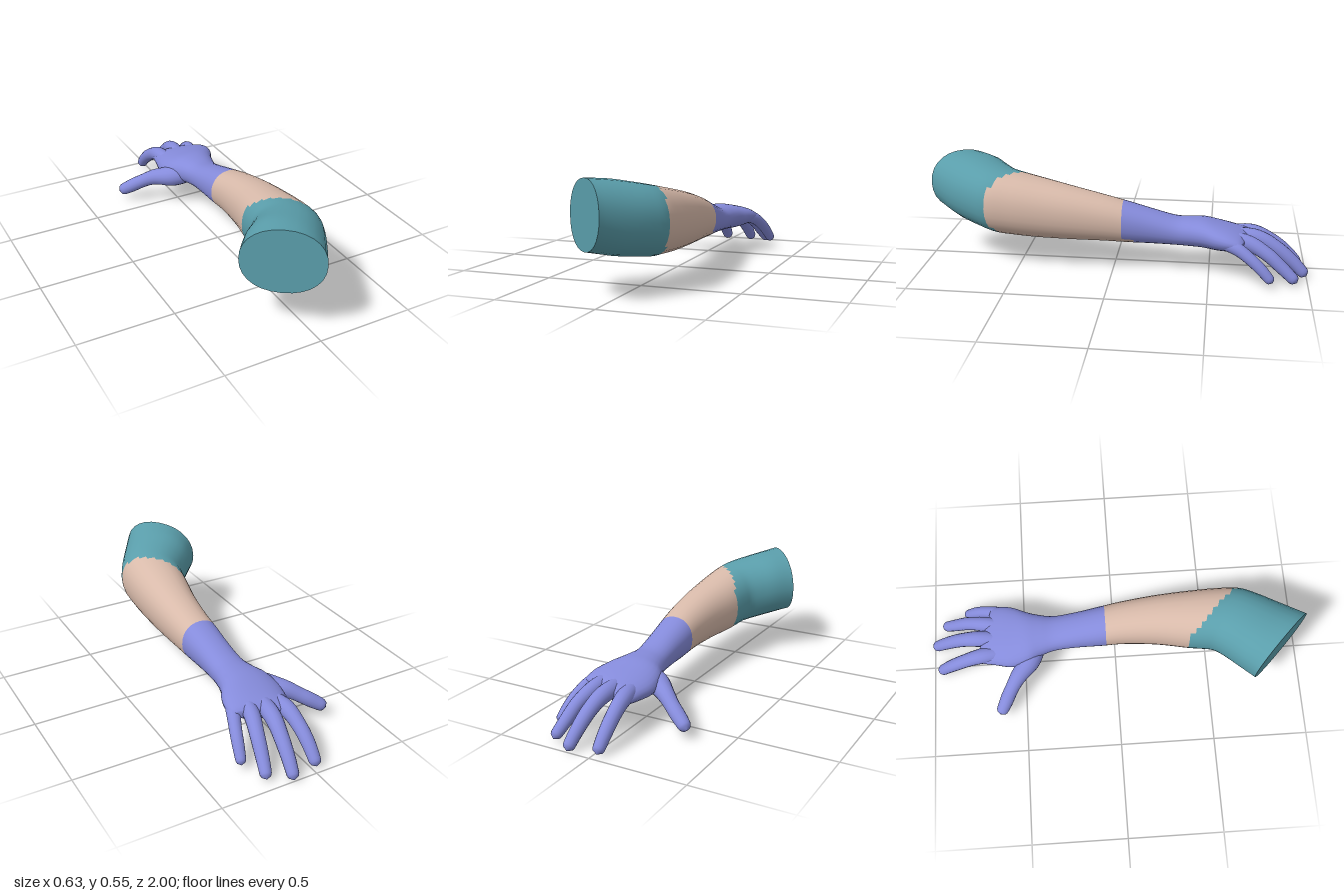
import * as THREE from 'three';

const V = (a) => new THREE.Vector3(...a);
const curve = (pts) => new THREE.CatmullRomCurve3(pts.map(V), false, 'catmullrom', 0.5);
const material = (color) => new THREE.MeshStandardMaterial({ color, roughness: 0.8 });

// Surface through a list of closed rings; returns smooth geometry and its quads
function loft(rings) {
  const n = rings[0].length, quads = [];
  const geo = new THREE.BufferGeometry().setFromPoints(rings.flat());
  for (let i = 0; i < rings.length - 1; i++) {
    for (let j = 0; j < n; j++) {
      const a = i * n + j, b = i * n + (j + 1) % n;
      quads.push([a, a + n, b, b, a + n, b + n]);
    }
  }
  geo.setIndex(quads.flat());
  geo.computeVertexNormals();
  return { geo, quads };
}

// Arm cross-sections from upper arm to knuckles:
// right edge x,z | left edge x,z | bottom y, top y | roll (rise of the left edge)
const SECTIONS = [
  [-0.27, 0.70, 0.02, 0.99, 0.215, 0.55, 0.02],
  [-0.205, 0.625, 0.10, 0.87, 0.19, 0.54, 0],
  [-0.14, 0.56, 0.175, 0.745, 0.175, 0.52, 0],
  [-0.10, 0.51, 0.213, 0.66, 0.165, 0.505, 0],
  [-0.085, 0.46, 0.223, 0.55, 0.16, 0.49, 0],
  [-0.07, 0.38, 0.225, 0.42, 0.155, 0.47, 0],
  [-0.035, 0.22, 0.22, 0.23, 0.155, 0.435, 0],
  [-0.015, 0.05, 0.207, 0.05, 0.155, 0.395, 0],
  [-0.012, -0.08, 0.193, -0.08, 0.15, 0.36, 0],
  [-0.008, -0.2, 0.18, -0.2, 0.148, 0.325, 0],
  [-0.012, -0.32, 0.175, -0.32, 0.145, 0.292, 0],
  [-0.035, -0.4, 0.187, -0.4, 0.14, 0.288, 0.005],
  [-0.07, -0.47, 0.208, -0.47, 0.135, 0.285, 0.01],
  [-0.082, -0.56, 0.237, -0.53, 0.13, 0.27, 0.015],
  [-0.064, -0.65, 0.253, -0.585, 0.135, 0.254, 0.015],
  [-0.052, -0.715, 0.256, -0.635, 0.147, 0.235, 0.012],
  [-0.04, -0.745, 0.25, -0.66, 0.172, 0.212, 0.01],
];

function armRings(steps, sides) {
  const right = curve(SECTIONS.map((s) => [s[0], 0, s[1]]));
  const left = curve(SECTIONS.map((s) => [s[2], 0, s[3]]));
  const heights = curve(SECTIONS.map((s) => [s[4], s[5], s[6]]));
  const rings = [];
  for (let i = 0; i <= steps; i++) {
    const t = i / steps, r = right.getPoint(t), l = left.getPoint(t), h = heights.getPoint(t);
    const c = r.clone().add(l).multiplyScalar(0.5);
    c.y = (h.x + h.y) / 2;
    const u = l.clone().sub(r).multiplyScalar(0.5);
    u.y = h.z;
    const ring = [];
    for (let j = 0; j < sides; j++) {
      const a = (j / sides) * Math.PI * 2;
      const soft = (v) => Math.sign(v) * Math.abs(v) ** 0.92;
      const p = c.clone().addScaledVector(u, soft(Math.cos(a)));
      p.y += soft(Math.sin(a)) * (h.y - h.x) / 2;
      ring.push(p);
    }
    rings.push(ring);
  }
  // close the knuckle end
  const last = rings[steps];
  const mid = last.reduce((s, p) => s.add(p), new THREE.Vector3()).divideScalar(sides);
  rings.push(last.map(() => mid.clone()));
  return rings;
}

// Finger: tapering tube with joint swellings and a rounded tip
function finger(path, radii) {
  const c = curve(path), r = curve(radii.map((v) => [v, 0, 0]));
  const steps = 36, sides = 16, length = c.getLength();
  const f = c.computeFrenetFrames(steps), rings = [];
  const cap = (radii[radii.length - 1] * 1.1) / length;
  for (let i = 0; i <= steps; i++) {
    const t = i / steps, k = Math.max(0, (t - 1 + cap) / cap);
    const radius = r.getPoint(t).x * Math.sqrt(Math.max(0, 1 - k * k));
    const p = c.getPointAt(t), ring = [];
    for (let j = 0; j < sides; j++) {
      const a = (j / sides) * Math.PI * 2;
      ring.push(p.clone().addScaledVector(f.normals[i], Math.cos(a) * radius)
        .addScaledVector(f.binormals[i], -Math.sin(a) * radius));
    }
    rings.push(ring);
  }
  return loft(rings).geo;
}

const FINGERS = {
  thumb: [[[0.03, 0.19, -0.42], [-0.05, 0.172, -0.465], [-0.13, 0.155, -0.53], [-0.2, 0.118, -0.578],
    [-0.255, 0.085, -0.61], [-0.305, 0.055, -0.64]], [0.05, 0.057, 0.047, 0.038, 0.037, 0.03]],
  indexFinger: [[[0.005, 0.19, -0.58], [-0.012, 0.188, -0.72], [-0.02, 0.145, -0.82],
    [-0.023, 0.085, -0.9], [-0.022, 0.012, -0.97]], [0.035, 0.042, 0.037, 0.034, 0.028]],
  middleFinger: [[[0.07, 0.205, -0.58], [0.085, 0.195, -0.74], [0.1, 0.15, -0.84],
    [0.112, 0.08, -0.93], [0.122, 0.008, -1.0]], [0.035, 0.043, 0.038, 0.034, 0.028]],
  ringFinger: [[[0.14, 0.21, -0.56], [0.166, 0.197, -0.69], [0.195, 0.15, -0.79],
    [0.215, 0.085, -0.87], [0.236, 0.018, -0.945]], [0.035, 0.04, 0.036, 0.033, 0.027]],
  littleFinger: [[[0.19, 0.21, -0.53], [0.23, 0.19, -0.63], [0.258, 0.15, -0.7],
    [0.277, 0.1, -0.76], [0.294, 0.036, -0.82]], [0.03, 0.034, 0.031, 0.029, 0.024]],
};

export function createModel() {
  const group = new THREE.Group();
  const sleeveMat = material(0x5a9eab), skinMat = material(0xd8baaa), gloveMat = material(0x858bdb);
  const add = (name, geo, mat) => {
    const mesh = new THREE.Mesh(geo, mat);
    mesh.name = name;
    group.add(mesh);
  };

  // One continuous arm, divided into sleeve, forearm and gloved hand with stepped borders
  const rings = armRings(64, 28);
  const { geo, quads } = loft(rings);
  const points = rings.flat();
  const parts = { sleeve: [], forearm: [], glove: [] };
  for (const q of quads) {
    const m = points[q[0]].clone().add(points[q[5]]).multiplyScalar(0.5);
    if (m.z > 0.44 + 1.05 * m.x) parts.sleeve.push(...q);
    else if (m.z < (m.y < 0.19 ? -0.12 : -0.06)) parts.glove.push(...q);
    else parts.forearm.push(...q);
  }
  const mats = { sleeve: sleeveMat, forearm: skinMat, glove: gloveMat };
  for (const name in parts) {
    const part = geo.clone();
    part.setIndex(parts[name]);
    add(name, part, mats[name]);
  }

  // Flat end of the sleeve
  const rim = rings[0], n = rim.length;
  const centre = rim.reduce((s, p) => s.add(p), new THREE.Vector3()).divideScalar(n);
  const end = new THREE.BufferGeometry().setFromPoints(
    rim.flatMap((p, j) => [centre, p, rim[(j + 1) % n]]));
  end.computeVertexNormals();
  add('sleeveEnd', end, sleeveMat);

  for (const name in FINGERS) add(name, finger(...FINGERS[name]), gloveMat);
  return group;
}
